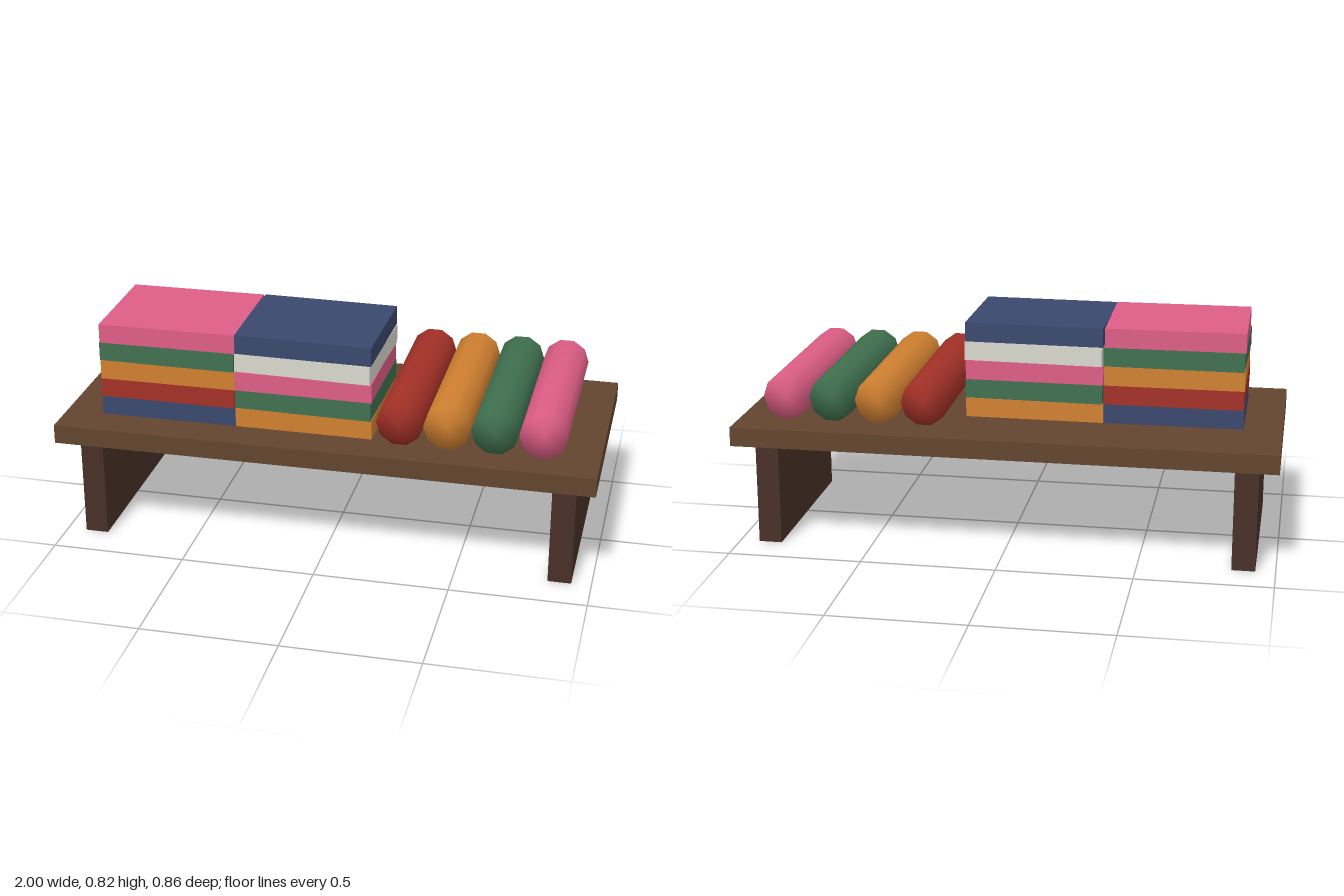
import * as THREE from 'three';
import { mergeVertices } from 'three/addons/utils/BufferGeometryUtils.js';

const makeMaterial = (name, color) => {
  const m = new THREE.MeshStandardMaterial({ color });
  m.name = name;
  return m;
};

export function createModel() {
  const mats = {
    wood: makeMaterial('wood', 0x62452e),
    darkWood: makeMaterial('darkWood', 0x483027),
    pink: makeMaterial('pink', 0xde5e86),
    navy: makeMaterial('navy', 0x3a486e),
    cream: makeMaterial('cream', 0xd8d8cd),
    red: makeMaterial('red', 0xa43127),
    orange: makeMaterial('orange', 0xd08030),
    green: makeMaterial('green', 0x40704f),
  };
  const model = new THREE.Group();
  model.name = 'clothDisplayTable';

  const add = (parent, name, geometry, mat, x, y, z, turn = 0) => {
    const mesh = new THREE.Mesh(geometry, mats[mat]);
    mesh.name = name;
    mesh.position.set(x, y, z);
    mesh.rotation.y = turn;
    parent.add(mesh);
  };

  // Table top and two slab legs
  add(model, 'tableTop', new THREE.BoxGeometry(2, 0.071, 0.857), 'wood', 0, 0.43, 0);
  for (const side of [-1, 1]) {
    add(model, side < 0 ? 'rightLeg' : 'leftLeg',
      new THREE.BoxGeometry(0.086, 0.395, 0.714), 'darkWood', side * 0.884, 0.1975, 0);
  }

  // Stacks of folded cloth, bottom to top, each piece turned slightly
  const layer = 0.0718;
  const folded = new THREE.BoxGeometry(0.514, layer, 0.4286);
  const stacks = [
    ['rightStack', -0.6, [['navy', 0.004], ['red', -0.006], ['orange', 0.003], ['green', -0.012], ['pink', 0.008]]],
    ['leftStack', -0.086, [['orange', -0.006], ['green', -0.022], ['pink', -0.01], ['cream', -0.037], ['navy', -0.02]]],
  ];
  for (const [name, x, cloths] of stacks) {
    const stack = new THREE.Group();
    stack.name = name;
    cloths.forEach(([color, turn], i) =>
      add(stack, 'foldedCloth', folded, color, x, 0.4655 + (i + 0.5) * layer, 0.0714, turn));
    model.add(stack);
  }

  // Ten-sided rolls of cloth, with normals smoothed across sides and ends
  let roll = new THREE.CylinderGeometry(0.0857, 0.0857, 0.714, 10);
  roll.rotateY(Math.PI / 2).rotateX(Math.PI / 2);
  roll.deleteAttribute('uv');
  roll.deleteAttribute('normal');
  roll.clearGroups();
  roll = mergeVertices(roll, 1e-4);
  roll.computeVertexNormals();
  ['red', 'orange', 'green', 'pink'].forEach((color, i) =>
    add(model, 'clothRoll', roll, color, 0.2857 + i * 0.1714, 0.5725, 0));

  return model;
}
